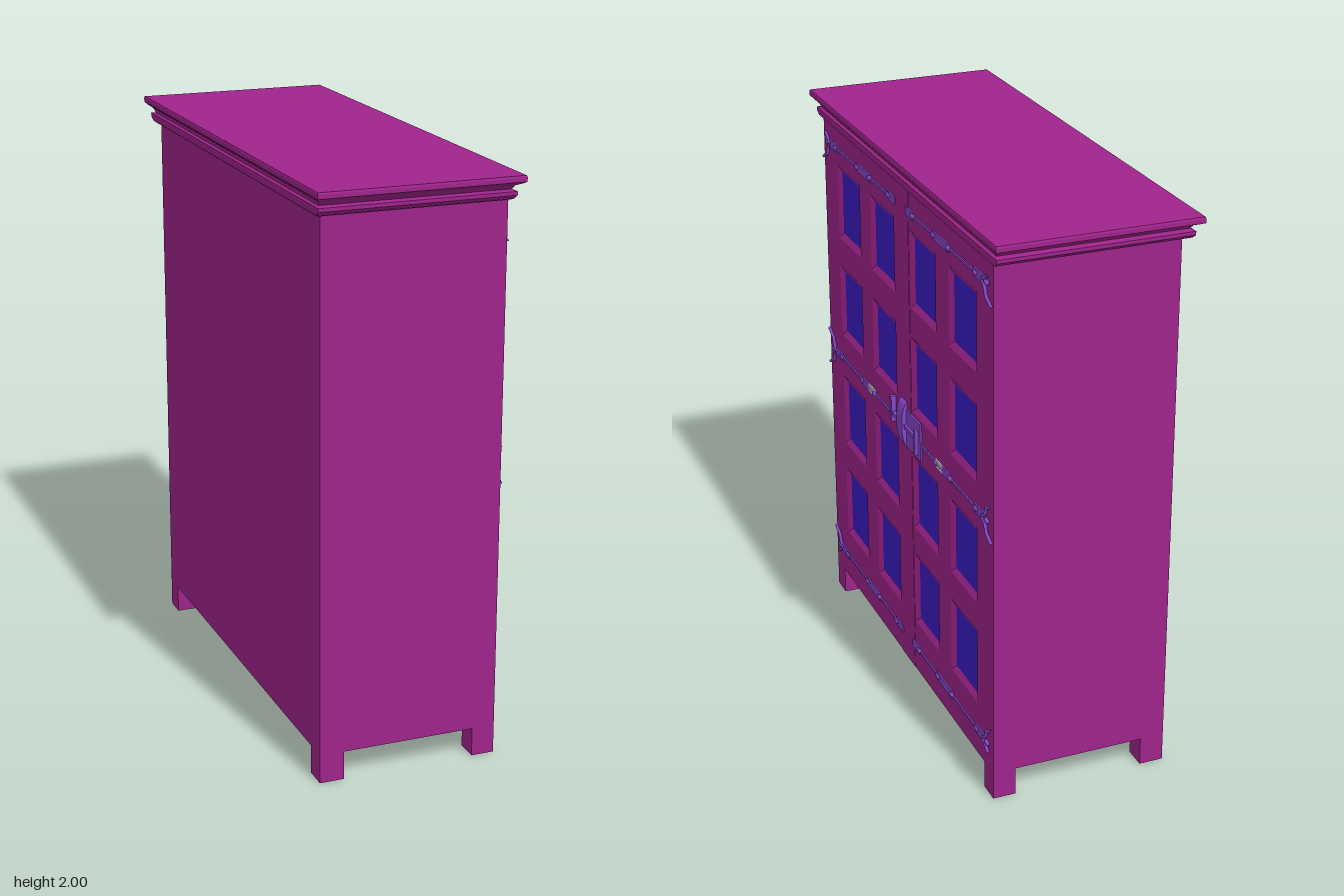
import * as THREE from 'three';

const mat = (color, side = THREE.FrontSide) => new THREE.MeshStandardMaterial({ color, side });
const wood = mat(0xa0248c);
const frameWood = mat(0xa0248c, THREE.DoubleSide);
const blue = mat(0x3c1ec8);
const iron = mat(0x8848cc);
const grey = mat(0xcccccc);

function add(parent, name, geometry, material, x = 0, y = 0, z = 0) {
  const mesh = new THREE.Mesh(geometry, material);
  mesh.name = name;
  mesh.position.set(x, y, z);
  parent.add(mesh);
  return mesh;
}

function box(parent, name, material, x0, x1, y0, y1, z0, z1) {
  return add(parent, name, new THREE.BoxGeometry(x1 - x0, y1 - y0, z1 - z0), material,
    (x0 + x1) / 2, (y0 + y1) / 2, (z0 + z1) / 2);
}

// Flat-sided skin through stacked rectangles [height, halfX, halfZ]
function loft(rings, capped) {
  const pos = [];
  const loops = rings.map(([y, a, b]) => [[a, y, b], [a, y, -b], [-a, y, -b], [-a, y, b]]);
  const quad = (a, b, c, d) => pos.push(...a, ...b, ...c, ...a, ...c, ...d);
  for (let i = 0; i + 1 < loops.length; i++) {
    for (let k = 0; k < 4; k++) {
      const n = (k + 1) % 4;
      quad(loops[i][k], loops[i][n], loops[i + 1][n], loops[i + 1][k]);
    }
  }
  if (capped) {
    quad(...loops[loops.length - 1]);
    quad(...[...loops[0]].reverse());
  }
  const g = new THREE.BufferGeometry();
  g.setAttribute('position', new THREE.Float32BufferAttribute(pos, 3));
  g.computeVertexNormals();
  return g;
}

function tube(parent, name, points, radius) {
  const curve = new THREE.CatmullRomCurve3(points.map(p => new THREE.Vector3(...p)));
  return add(parent, name, new THREE.TubeGeometry(curve, 16, radius, 6, false), iron);
}

// One strap hinge running inwards from the outer edge (side -1 or 1)
function strapHinge(front, side, y, up, down, middle) {
  const hinge = new THREE.Group();
  hinge.name = 'strapHinge';
  hinge.position.set(0, y, 0.322);
  front.add(hinge);
  const plate = (name, m, a, b, h) =>
    box(hinge, name, m, Math.min(side * a, side * b), Math.max(side * a, side * b), -h, h, -0.003, 0.003);

  // Forked outer end, each prong long or short
  for (const [dir, long] of [[1, up], [-1, down]]) {
    const path = long
      ? [[0.72, 0], [0.745, 0.02], [0.755, 0.045], [0.775, 0.055], [0.798, 0.068]]
      : [[0.72, 0], [0.745, 0.014], [0.77, 0.032]];
    tube(hinge, 'hingeProng', path.map(([u, v]) => [side * u, dir * v, 0.003]), 0.006);
  }
  // Strap plates joined by a thin rod
  plate('strapPlate', iron, 0.65, 0.735, 0.015);
  plate('strapPlate', iron, 0.365, 0.435, 0.015);
  plate('strapPlate', middle ? grey : iron, 0.30, 0.365, 0.015);
  if (!middle) plate('strapPlate', iron, 0.05, 0.12, 0.015);
  plate('strapRod', iron, middle ? 0.03 : 0.1, 0.7, 0.004);
  // Rivets
  for (const u of [0.755, 0.665, 0.435, 0.305, 0.115]) {
    const rivet = add(hinge, 'rivet', new THREE.SphereGeometry(0.012, 10, 6), iron, side * u, 0, 0.002);
    rivet.scale.set(1.5, 0.8, 0.6);
  }
}

export function createModel() {
  const model = new THREE.Group();
  model.name = 'cabinet';

  // Carcass and feet
  box(model, 'carcass', wood, -0.31, 0.306, 0.1, 1.925, -0.803, 0.803);
  for (const [x0, x1] of [[-0.31, -0.225], [0.24, 0.32]]) {
    for (const s of [-1, 1]) box(model, 'foot', wood, x0, x1, 0, 0.1, s * 0.763 - 0.04, s * 0.763 + 0.04);
  }

  // Two-tier cornice
  add(model, 'cornice', loft([
    [1.912, 0.322, 0.815], [1.918, 0.33, 0.83], [1.932, 0.332, 0.848], [1.944, 0.332, 0.848],
    [1.948, 0.322, 0.825], [1.962, 0.326, 0.84], [1.972, 0.34, 0.865], [1.98, 0.347, 0.883],
    [1.994, 0.347, 0.883], [2.0, 0.345, 0.88],
  ], true), wood, -0.002, 0, 0);

  // Front assembly: local z points along the cabinet's facing direction
  const front = new THREE.Group();
  front.name = 'front';
  front.rotation.y = Math.PI / 2;
  model.add(front);

  // Door face with openings, each with a bevelled frame and a blue panel
  const columns = [-0.545, -0.195, 0.193, 0.545];
  const rows = [1.643, 1.26, 0.818, 0.435];
  const face = new THREE.Shape([[-0.803, 0.1], [0.803, 0.1], [0.803, 1.925], [-0.803, 1.925]]
    .map(p => new THREE.Vector2(...p)));
  const a = 0.118, b = 0.139;
  for (const u of columns) {
    for (const y of rows) {
      face.holes.push(new THREE.Path([[-a, -b], [-a, b], [a, b], [a, -b]]
        .map(p => new THREE.Vector2(u + p[0], y + p[1]))));
      const frame = loft([[0.309, 0.095, 0.117], [0.32, a, b]], false).rotateX(Math.PI / 2);
      add(front, 'panelFrame', frame, frameWood, u, y, 0);
      add(front, 'panel', new THREE.PlaneGeometry(0.19, 0.234), blue, u, y, 0.309);
    }
  }
  add(front, 'doors', new THREE.ExtrudeGeometry(face, { depth: 0.014, bevelEnabled: false }), wood, 0, 0, 0.306);
  box(front, 'centrePost', wood, -0.067, 0.067, 0.1, 1.915, 0.31, 0.3215);

  // Strap hinges
  for (const side of [-1, 1]) {
    strapHinge(front, side, 1.84, false, true, false);
    strapHinge(front, side, 1.03, true, true, true);
    strapHinge(front, side, 0.195, true, false, false);
  }

  // Lock: back plate, sliding bolt, handles and curved hasp
  const lock = new THREE.Group();
  lock.name = 'lock';
  front.add(lock);
  box(lock, 'lockPlate', iron, 0.015, 0.165, 0.97, 1.108, 0.318, 0.326);
  box(lock, 'bolt', iron, -0.1, 0.14, 1.04, 1.054, 0.324, 0.335);
  box(lock, 'boltHandle', iron, -0.106, -0.09, 1.015, 1.11, 0.32, 0.337);
  box(lock, 'boltStop', iron, 0.126, 0.142, 0.985, 1.08, 0.322, 0.337);
  const hasp = add(lock, 'hasp',
    new THREE.CylinderGeometry(0.085, 0.085, 0.056, 32).rotateZ(Math.PI / 2), iron, 0, 1.05, 0.321);
  hasp.scale.z = 0.25;

  return model;
}
